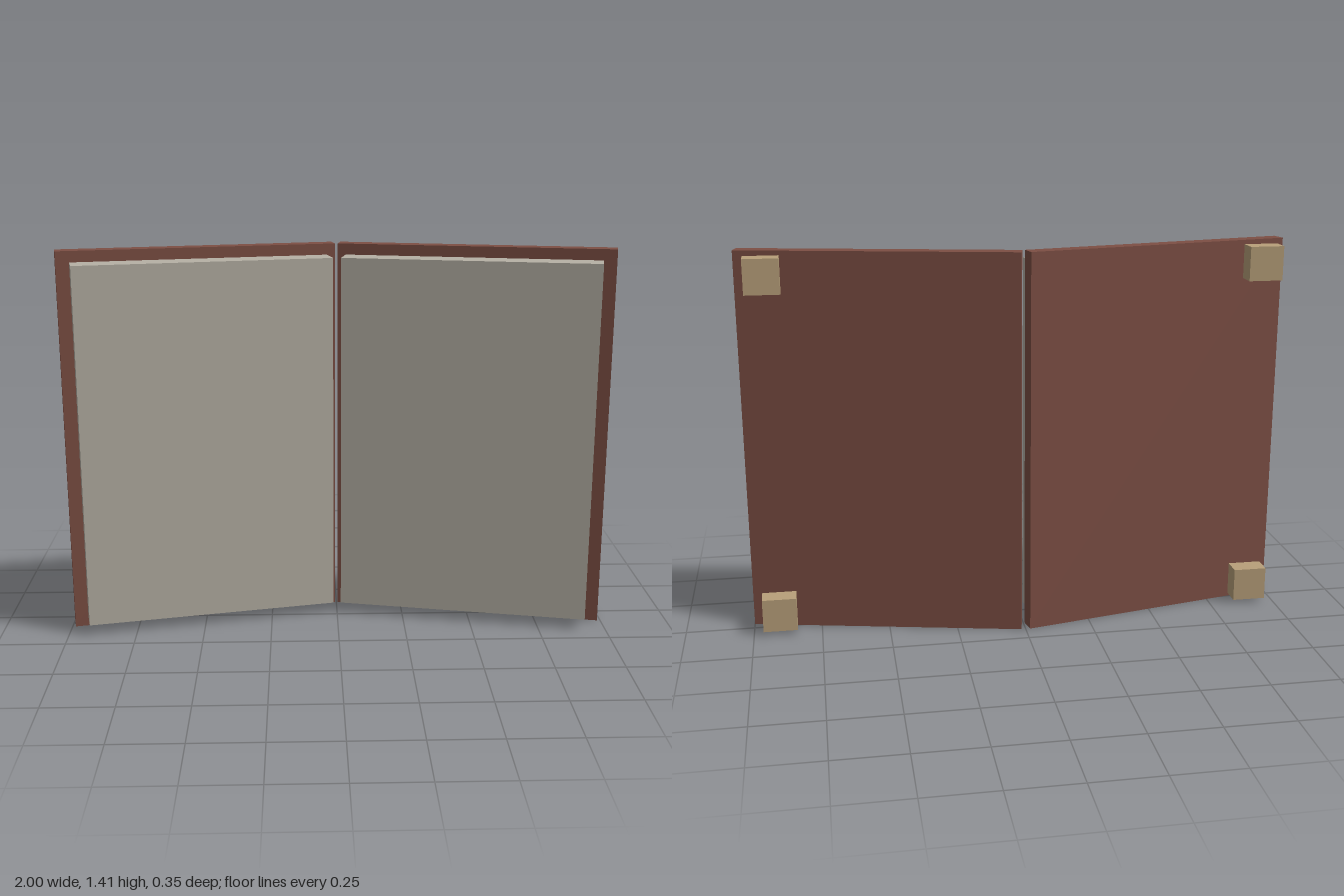
import * as THREE from 'three';

const HEIGHT = 1.41;
const TILT = THREE.MathUtils.degToRad(12);

function box(name, material, x0, x1, y0, y1, z0, z1) {
  const mesh = new THREE.Mesh(new THREE.BoxGeometry(x1 - x0, y1 - y0, z1 - z0), material);
  mesh.position.set((x0 + x1) / 2, (y0 + y1) / 2, (z0 + z1) / 2);
  mesh.name = name;
  return mesh;
}

export function createModel() {
  const cover = new THREE.MeshStandardMaterial({ color: 0x7d4f44 });
  cover.name = 'brown cover';
  const paper = new THREE.MeshStandardMaterial({ color: 0xb6b1a5 });
  paper.name = 'grey paper';
  const wood = new THREE.MeshStandardMaterial({ color: 0xb8a07a });
  wood.name = 'tan wood';

  const model = new THREE.Group();
  model.name = 'openBook';

  for (const side of [1, -1]) {
    const label = side > 0 ? 'left' : 'right';
    // mirrors an x range to the chosen side
    const span = (a, b) => (side > 0 ? [a, b] : [-b, -a]);

    // one half of the book, hinged at the back inner edge of its board
    const half = new THREE.Group();
    half.name = label + 'Half';
    half.position.set(side * 0.017, 0, -0.174);
    half.rotation.y = -side * TILT;
    half.add(
      box(label + 'Cover', cover, ...span(0, 1.005), 0, HEIGHT, 0, 0.058),
      box(label + 'Pages', paper, ...span(0.03, 0.957), 0.04, HEIGHT - 0.04, 0.058, 0.155)
    );
    model.add(half);

    // small support blocks behind the outer corners
    for (const y of [0.015, 1.27]) {
      const name = label + (y < 0.5 ? 'Lower' : 'Upper') + 'Block';
      model.add(box(name, wood, ...span(0.84, 0.965), y, y + 0.125, -0.077, -0.004));
    }
  }
  return model;
}
